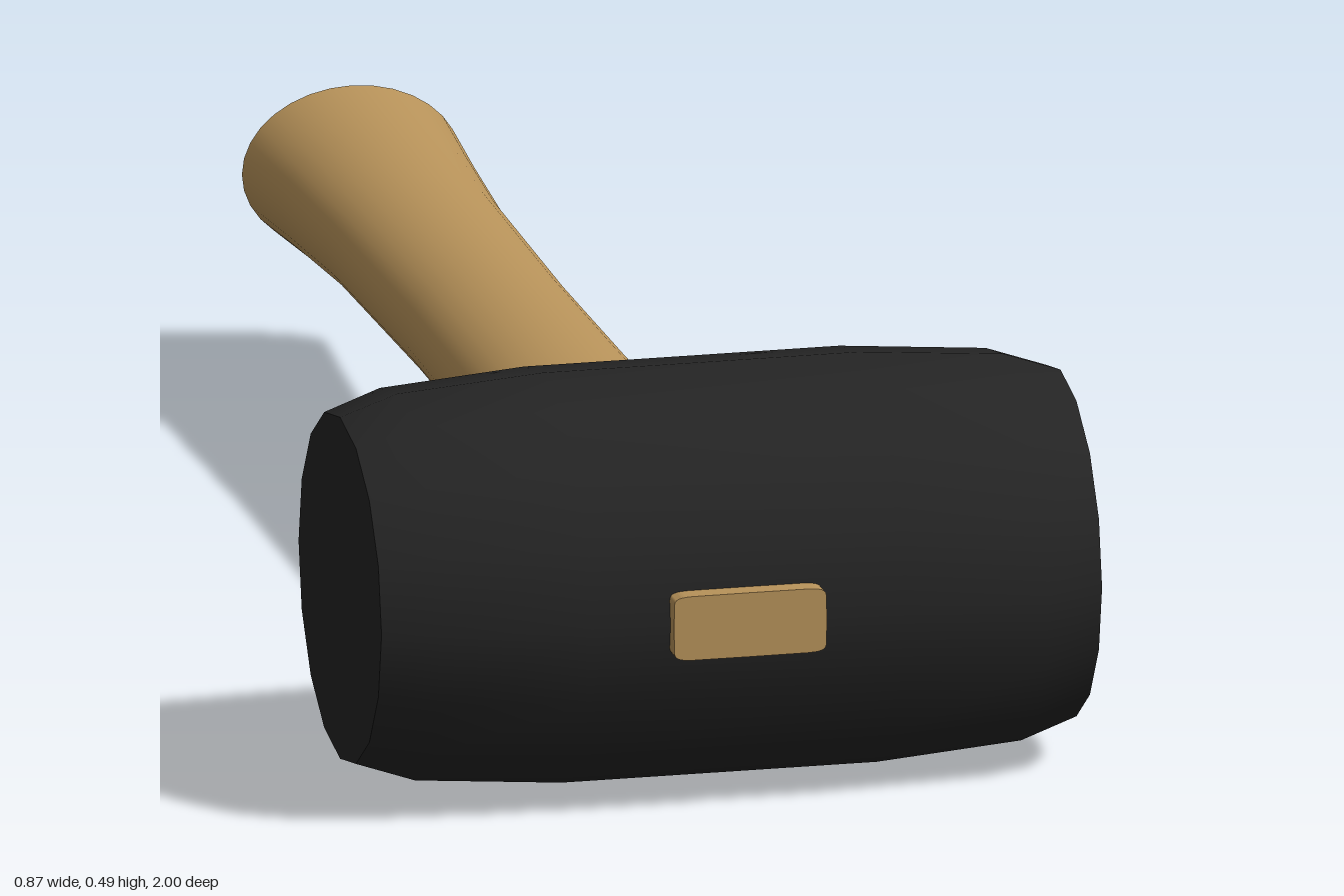
import * as THREE from 'three';
import { toCreasedNormals } from 'three/addons/utils/BufferGeometryUtils.js';

const CENTER_Y = 0.249;

// Closed loft along z; each section is [z, half width, half height, corner exponent]
function loft(sections, sides) {
  const pos = [], index = [];
  const bend = (v, e) => Math.sign(v) * Math.pow(Math.abs(v), e);
  for (const [z, rx, ry, e] of sections) {
    for (let j = 0; j < sides; j++) {
      const a = (j / sides) * Math.PI * 2;
      pos.push(rx * bend(Math.cos(a), e), ry * bend(Math.sin(a), e), z);
    }
  }
  const last = sections.length - 1;
  for (let i = 0; i < last; i++) {
    for (let j = 0; j < sides; j++) {
      const k = (j + 1) % sides;
      const a = i * sides + j, b = i * sides + k;
      index.push(a, b, a + sides, b, b + sides, a + sides);
    }
  }
  // End caps
  const back = pos.length / 3, front = back + 1;
  pos.push(0, 0, sections[0][0], 0, 0, sections[last][0]);
  for (let j = 0; j < sides; j++) {
    const k = (j + 1) % sides;
    index.push(back, k, j, front, last * sides + j, last * sides + k);
  }
  const geo = new THREE.BufferGeometry();
  geo.setAttribute('position', new THREE.Float32BufferAttribute(pos, 3));
  geo.setIndex(index);
  return toCreasedNormals(geo, 0.7);
}

export function createModel() {
  const group = new THREE.Group();
  group.name = 'mallet';
  const rubber = new THREE.MeshStandardMaterial({ color: 0x242424 });
  rubber.name = 'black rubber';
  const wood = new THREE.MeshStandardMaterial({ color: 0xb8935a });
  wood.name = 'handle wood';

  // Barrel-shaped head lying along x, with bevelled rims
  const half = [[0.19, 0.246], [0.365, 0.232], [0.434, 0.208], [0, 0]];
  half[3][0] = half[2][0];
  const profile = [
    ...half.slice().reverse().map(([x, r]) => new THREE.Vector2(r, -x)),
    ...half.map(([x, r]) => new THREE.Vector2(r, x)),
  ];
  const headGeo = toCreasedNormals(new THREE.LatheGeometry(profile, 16), 0.6);
  headGeo.rotateZ(-Math.PI / 2);
  const head = new THREE.Mesh(headGeo, rubber);
  head.name = 'head';
  head.position.set(0, CENTER_Y, 0.736);
  group.add(head);

  // Handle: flared oval grip narrowing to a squared tenon through the head
  const handle = new THREE.Mesh(loft([
    [-1, 0.132, 0.1, 1],
    [-0.85, 0.121, 0.09, 1],
    [-0.67, 0.11, 0.081, 1],
    [-0.3, 0.104, 0.079, 1],
    [0, 0.107, 0.078, 1],
    [0.2, 0.111, 0.077, 1],
    [0.36, 0.106, 0.071, 1],
    [0.5, 0.099, 0.066, 0.95],
    [0.7, 0.094, 0.05, 0.6],
    [0.95, 0.092, 0.039, 0.18],
    [1, 0.092, 0.039, 0.18],
  ], 32), wood);
  handle.name = 'handle';
  handle.position.set(-0.003, CENTER_Y, 0);
  group.add(handle);

  return group;
}
